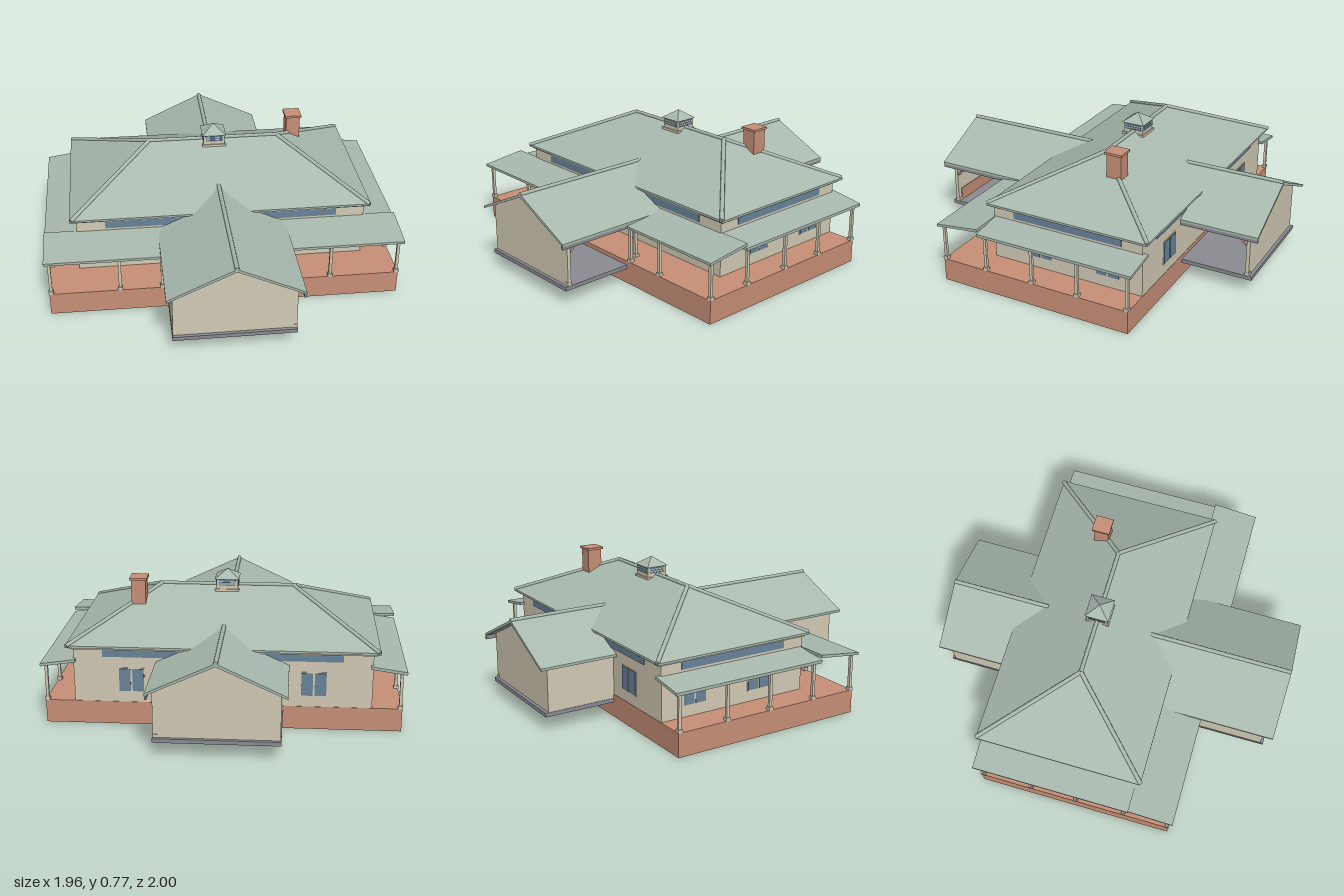
import * as THREE from 'three';
import { ConvexGeometry } from 'three/addons/geometries/ConvexGeometry.js';

const mat = (name, color, extra = {}) => new THREE.MeshStandardMaterial({ name, color, ...extra });
const V = (x, y, z) => new THREE.Vector3(x, y, z);

export function createModel() {
  const green = mat('roofGreen', 0xa9b9ae);
  const cream = mat('wallCream', 0xd2cab5);
  const brick = mat('terracotta', 0xc78f77);
  const glass = mat('windowBlue', 0x68839a);
  const grey = mat('floorGrey', 0x8b8c92);

  const model = new THREE.Group();
  model.name = 'homestead';
  const group = (name) => {
    const g = new THREE.Group();
    g.name = name;
    model.add(g);
    return g;
  };
  const add = (parent, name, geo, material) => {
    const m = new THREE.Mesh(geo, material);
    m.name = name;
    parent.add(m);
    return m;
  };
  // Box given by its minimum and maximum on each axis
  const box = (parent, name, material, x0, x1, y0, y1, z0, z1) => {
    const m = add(parent, name, new THREE.BoxGeometry(x1 - x0, y1 - y0, z1 - z0), material);
    m.position.set((x0 + x1) / 2, (y0 + y1) / 2, (z0 + z1) / 2);
    return m;
  };
  // Outline in the xy plane, extruded from z0 to z1
  const prism = (parent, name, material, pts, z0, z1) => {
    const shape = new THREE.Shape(pts.map((p) => new THREE.Vector2(...p)));
    const geo = new THREE.ExtrudeGeometry(shape, { depth: z1 - z0, bevelEnabled: false });
    const m = add(parent, name, geo, material);
    m.position.z = z0;
    return m;
  };
  // Straight round bar between two points
  const bar = (parent, name, material, a, b, r, sides = 8) => {
    const d = b.clone().sub(a);
    const m = add(parent, name, new THREE.CylinderGeometry(r, r, d.length(), sides), material);
    m.position.copy(a).add(b).multiplyScalar(0.5);
    m.quaternion.setFromUnitVectors(V(0, 1, 0), d.normalize());
    return m;
  };

  // Plinth and main walls
  box(model, 'plinth', brick, -0.965, 0.965, 0, 0.13, -0.562, 0.56);
  const house = group('house');
  box(house, 'walls', cream, -0.803, 0.803, 0.13, 0.45, -0.56, 0.33);
  box(house, 'eaveTrim', cream, -0.82, 0.82, 0.434, 0.448, -0.583, 0.337);

  // Windows: a frame of two panes with a mullion, on a wall facing angle ry
  const windowPair = (x, z, ry) => {
    const g = new THREE.Group();
    g.name = 'window';
    box(g, 'frame', cream, -0.072, 0.072, 0.188, 0.327, 0, 0.002);
    for (const s of [-1, 1]) {
      box(g, 'pane', glass, s * 0.036 - 0.031, s * 0.036 + 0.031, 0.194, 0.322, 0, 0.005);
    }
    g.position.set(x, 0, z);
    g.rotation.y = ry;
    house.add(g);
  };
  for (const s of [-1, 1]) {
    windowPair(s * 0.578, 0.33, 0);
    windowPair(s * 0.29, 0.33, 0);
    windowPair(s * 0.49, -0.56, Math.PI);
    for (const z of [0.043, -0.36]) windowPair(s * 0.803, z, (s * Math.PI) / 2);
    const x = s * 0.803;
    box(house, 'sideClerestory', glass, x - 0.004, x + 0.004, 0.388, 0.433, -0.44, 0.205);
  }
  for (const z of [0.33, -0.56]) {
    box(house, 'clerestory', glass, -0.645, 0.645, 0.388, 0.433, z - 0.004, z + 0.004);
  }

  // Hipped main roof with ridge and hip caps
  const roof = group('mainRoof');
  const corners = [[-0.838, -0.6], [0.838, -0.6], [0.838, 0.353], [-0.838, 0.353]];
  const ridge = [V(-0.37, 0.678, -0.12), V(0.37, 0.678, -0.12)];
  const hull = corners.flatMap(([x, z]) => [V(x, 0.446, z), V(x, 0.458, z)]);
  add(roof, 'hippedRoof', new ConvexGeometry([...hull, ...ridge]), green);
  bar(roof, 'ridgeCap', green, ridge[0], ridge[1], 0.011);
  for (const [x, z] of corners) {
    bar(roof, 'hipCap', green, V(x * 0.99, 0.458, z), ridge[x < 0 ? 0 : 1], 0.012);
  }

  // Louvred vent on the ridge
  const vent = group('ridgeVent');
  box(vent, 'ventBody', cream, -0.06, 0.06, 0.6, 0.725, -0.18, -0.06);
  box(vent, 'ventBase', cream, -0.067, 0.067, 0.652, 0.665, -0.187, -0.053);
  for (let i = 0; i < 3; i++) {
    const y = 0.684 + i * 0.013;
    box(vent, 'louvre', glass, -0.048, 0.048, y, y + 0.007, -0.183, -0.057);
    box(vent, 'sideLouvre', glass, -0.063, 0.063, y, y + 0.007, -0.168, -0.072);
  }
  const cap = add(vent, 'ventRoof',
    new THREE.ConeGeometry(0.068 * Math.SQRT2, 0.048, 4).rotateY(Math.PI / 4).toNonIndexed(), green);
  cap.geometry.computeVertexNormals();
  cap.position.set(0, 0.746, -0.12);

  // Chimney
  const chimney = group('chimney');
  box(chimney, 'chimneyStack', brick, 0.443, 0.523, 0.55, 0.74, -0.288, -0.202);
  box(chimney, 'chimneyCap', brick, 0.435, 0.531, 0.737, 0.75, -0.296, -0.194);

  // Verandah roofs and posts
  const verandah = group('verandah');
  const post = (parent, x, z, y0 = 0.13, y1 = 0.345) => {
    box(parent, 'post', cream, x - 0.008, x + 0.008, y0, y1, z - 0.008, z + 0.008);
    box(parent, 'postFoot', cream, x - 0.013, x + 0.013, y0, y0 + 0.018, z - 0.013, z + 0.013);
  };
  for (const s of [-1, 1]) {
    const side = [[0.79, 0.376], [0.982, 0.348], [0.982, 0.332], [0.79, 0.36]];
    prism(verandah, 'sideRoof', green, side.map(([x, y]) => [s * x, y]), -0.585, 0.326);
    const front = prism(verandah, 'frontRoof', green,
      [[0.322, 0.376], [0.58, 0.345], [0.58, 0.331], [0.322, 0.36]], 0, 0.662);
    front.rotation.y = -Math.PI / 2;
    front.position.set(s > 0 ? 0.982 : -0.32, 0, 0);
    for (const z of [-0.553, -0.265, 0.005, 0.29]) post(verandah, s * 0.955, z);
    for (const x of [0.955, 0.58, 0.35]) post(verandah, s * x, 0.55);
  }

  // Gabled wings, open on the +x side
  const wing = (name, dir, wallIn, ridgeIn) => {
    const g = group(name);
    const span = (a, b) => [Math.min(a * dir, b * dir), Math.max(a * dir, b * dir)];
    box(g, 'floor', grey, -0.328, 0.328, 0.084, 0.106, ...span(wallIn, 0.968));
    prism(g, 'gableWall', cream,
      [[-0.325, 0.106], [0.325, 0.106], [0.325, 0.366], [0, 0.519], [-0.325, 0.366]], ...span(0.93, 0.95));
    box(g, 'sideWall', cream, -0.325, -0.308, 0.106, 0.366, ...span(wallIn, 0.94));
    box(g, 'sideDado', brick, -0.309, -0.304, 0.106, 0.18, ...span(wallIn, 0.93));
    box(g, 'endDado', brick, -0.305, 0.3, 0.106, 0.18, ...span(0.925, 0.931));
    prism(g, 'gableRoof', green,
      [[0, 0.532], [0.358, 0.364], [0.358, 0.35], [0, 0.515], [-0.358, 0.35], [-0.358, 0.364]],
      ...span(ridgeIn, 1));
    bar(g, 'ridgeCap', green, V(0, 0.53, ridgeIn * dir), V(0, 0.53, dir), 0.012);
    box(g, 'eaveFascia', grey, 0.345, 0.356, 0.332, 0.362, ...span(wallIn, 1));
    box(g, 'eaveBeam', cream, 0.304, 0.322, 0.335, 0.365, ...span(wallIn, 0.94));
    // Bracket rising from a post at z towards z + step
    const brace = (z, step) =>
      bar(g, 'bracket', brick, V(0.313, 0.275, z * dir), V(0.313, 0.336, (z + step) * dir), 0.007, 4);
    post(g, 0.313, 0.94 * dir, 0.106);
    brace(0.935, -0.065);
    return { g, brace };
  };
  const front = wing('frontWing', 1, 0.33, 0.18);
  post(front.g, 0.313, 0.485);
  front.brace(0.485, 0.065);
  front.brace(0.485, -0.065);
  wing('backWing', -1, 0.56, 0.43);

  return model;
}
